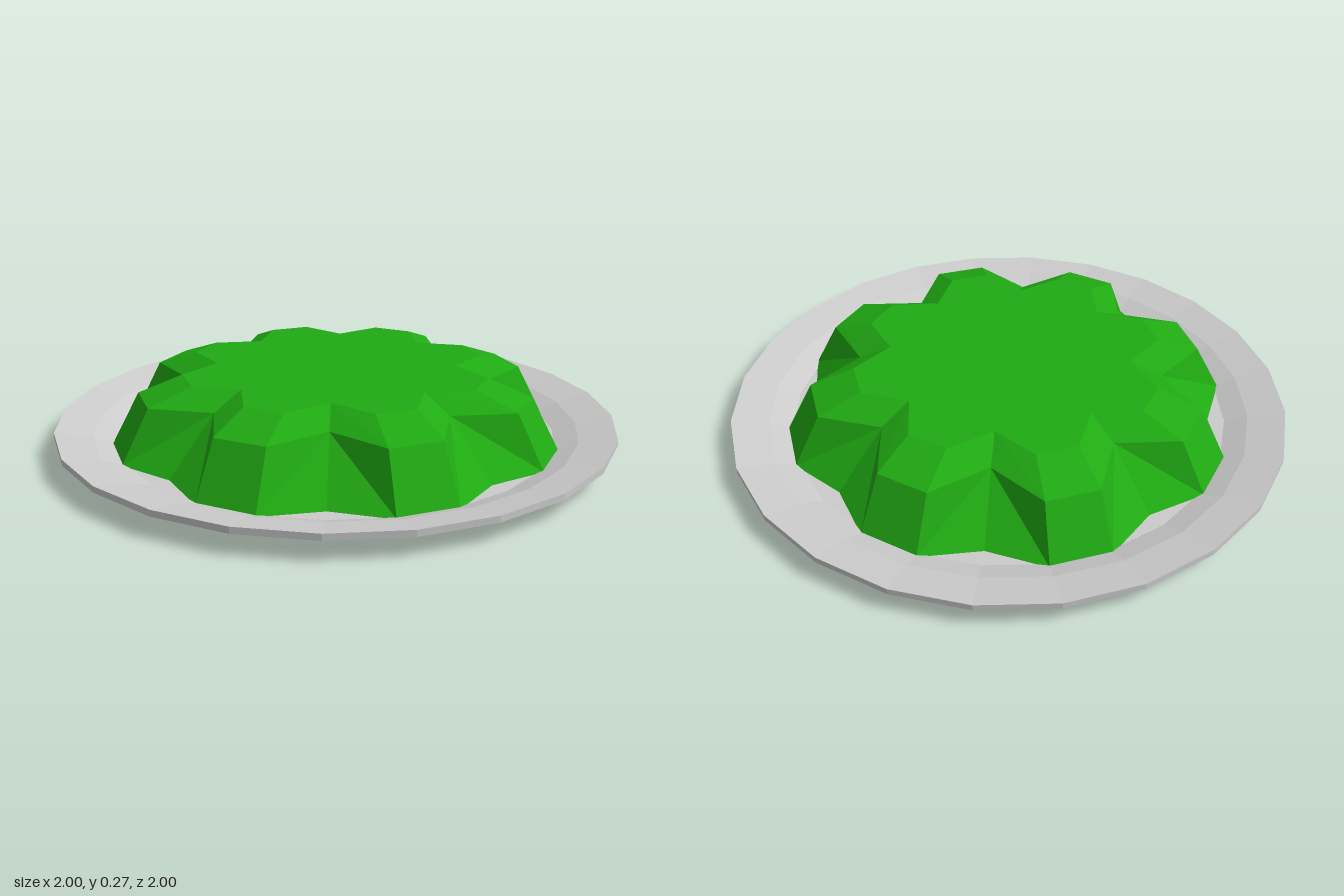
import * as THREE from 'three';

const SIDES = 24;

// Scalloped ring: every third point is a valley between two lobe points.
function ring(lobeRadius, valleyRadius, y) {
  return Array.from({ length: SIDES }, (_, i) => {
    const r = i % 3 === 0 ? valleyRadius : lobeRadius;
    const a = (i / SIDES) * Math.PI * 2;
    return [r * Math.sin(a), y, r * Math.cos(a)];
  });
}

// Joins cross-sections from bottom to top and closes both ends.
function loft(rings) {
  const positions = rings.flat(2);
  const index = [];
  const top = rings.length - 1;
  const bottomCentre = rings.length * SIDES;
  positions.push(0, rings[0][0][1], 0, 0, rings[top][0][1], 0);
  for (let i = 0; i < SIDES; i++) {
    const j = (i + 1) % SIDES;
    for (let k = 0; k < top; k++) {
      const a = k * SIDES + i, b = k * SIDES + j;
      const c = b + SIDES, d = a + SIDES;
      // Mirror the diagonals on either side of each valley
      if (i % 3 === 0) index.push(a, b, d, b, c, d);
      else index.push(a, b, c, a, c, d);
    }
    index.push(bottomCentre, j, i);
    index.push(bottomCentre + 1, top * SIDES + i, top * SIDES + j);
  }
  const geometry = new THREE.BufferGeometry();
  geometry.setAttribute('position', new THREE.Float32BufferAttribute(positions, 3));
  geometry.setIndex(index);
  const faceted = geometry.toNonIndexed();
  faceted.computeVertexNormals();
  return faceted;
}

export function createModel() {
  const model = new THREE.Group();
  model.name = 'dishWithScallopedMound';

  // Shallow dish: flat foot, sloping underside, rim, stepped inside
  const profile = [
    [0, 0], [0.77, 0], [0.82, 0.025], [1, 0.068], [1, 0.09],
    [0.87, 0.062], [0.79, 0.03], [0, 0.03],
  ].map(([r, y]) => new THREE.Vector2(r, y));
  const dish = new THREE.Mesh(
    new THREE.LatheGeometry(profile, SIDES),
    new THREE.MeshStandardMaterial({ color: 0xcccccc, flatShading: true })
  );
  dish.name = 'dish';
  model.add(dish);

  // Eight-lobed mound with bevelled shoulders and a flat top
  const mound = new THREE.Mesh(
    loft([
      ring(0.805, 0.73, 0.03),
      ring(0.705, 0.545, 0.215),
      ring(0.55, 0.43, 0.27),
    ]),
    new THREE.MeshStandardMaterial({ color: 0x20aa13, flatShading: true })
  );
  mound.name = 'scallopedMound';
  model.add(mound);

  return model;
}
